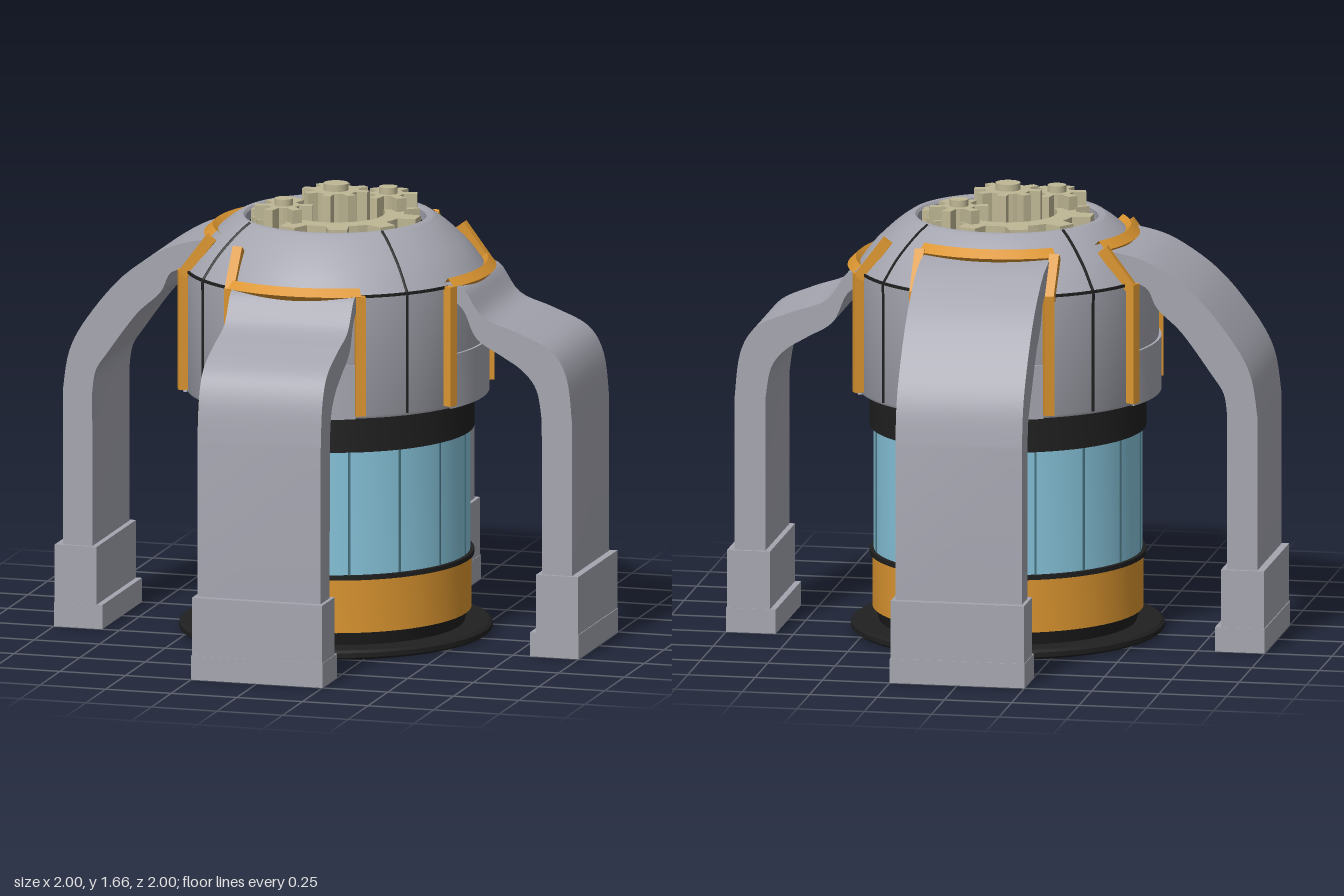
import * as THREE from 'three';
import { toCreasedNormals } from 'three/addons/utils/BufferGeometryUtils.js';

const mat = (name, color, side = THREE.FrontSide) =>
  Object.assign(new THREE.MeshStandardMaterial({ color, side }), { name });
const V2 = (p) => new THREE.Vector2(p[0], p[1]);

export function createModel() {
  const grey = mat('grey metal', 0xa4a5af, THREE.DoubleSide);
  const gold = mat('orange trim', 0xdb9530, THREE.DoubleSide);
  const black = mat('black rubber', 0x202020);
  const glass = mat('blue glass', 0x86c3da);
  const seam = mat('dark blue seam', 0x47727f);
  const brass = mat('pale brass', 0xbfb795);

  const model = new THREE.Group();
  const add = (parent, name, geo, material, x = 0, y = 0, z = 0) => {
    const m = new THREE.Mesh(geo, material);
    m.name = name;
    m.position.set(x, y, z);
    parent.add(m);
    return m;
  };
  const lathe = (pts, start = 0, len = Math.PI * 2, seg = 64) =>
    toCreasedNormals(new THREE.LatheGeometry(pts.map(V2), seg, start, len), 0.6);
  // closed rectangular ring section
  const ring = (r0, r1, y0, y1) => [[r0, y0], [r1, y0], [r1, y1], [r0, y1], [r0, y0]];

  // Base and drum
  add(model, 'baseFlange', lathe([[0, 0.005], [0.56, 0.005], [0.572, 0.014], [0.572, 0.031],
    [0.56, 0.04], [0.45, 0.04]]), black);
  add(model, 'basePlinth', lathe([[0.47, 0.04], [0.485, 0.09], [0.3, 0.09]]), black);
  add(model, 'orangeBand', lathe([[0.44, 0.088], [0.495, 0.09], [0.495, 0.29], [0.44, 0.29]]), gold);
  add(model, 'lowerSeal', lathe(ring(0.45, 0.505, 0.288, 0.305)), black);
  add(model, 'glassDrum', lathe([[0.49, 0.3], [0.49, 0.77]]), glass);
  for (let i = 0; i < 16; i++) {
    const a = (i * Math.PI) / 8;
    add(model, 'glassSeam', new THREE.BoxGeometry(0.008, 0.46, 0.008), seam,
      0.489 * Math.sin(a), 0.535, 0.489 * Math.cos(a)).rotation.y = a;
  }
  add(model, 'collar', lathe([[0.45, 0.765], [0.505, 0.765], [0.505, 0.905]]), black);

  // Shell with its curved shoulder and top opening
  const dome = new THREE.SplineCurve([[0.55, 1.355], [0.495, 1.43], [0.435, 1.49], [0.39, 1.527],
    [0.355, 1.55]].map(V2)).getPoints(12).map((p) => [p.x, p.y]);
  add(model, 'shell', lathe([[0.45, 0.9], [0.545, 0.9], [0.55, 0.91], ...dome, [0.338, 1.55],
    [0.33, 1.54], [0.33, 1.49]]), grey);
  add(model, 'gearWell', new THREE.CylinderGeometry(0.335, 0.335, 0.02, 64), black, 0, 1.495);
  add(model, 'shoulderSeam', lathe(ring(0.54, 0.554, 1.35, 1.36)), black);
  for (let i = 0; i < 4; i++) {
    const a = Math.PI / 4 + (i * Math.PI) / 2;
    const path = new THREE.CatmullRomCurve3([[0.55, 0.91], [0.55, 1.1], [0.55, 1.3], ...dome]
      .map(([r, y]) => new THREE.Vector3(r * Math.sin(a), y, r * Math.cos(a))));
    add(model, 'shellSeam', new THREE.TubeGeometry(path, 48, 0.006, 5), black);
  }

  // Gears
  const gear = (name, teeth, tip, root, hole, y0, y1, x = 0, z = 0, turn = 0) => {
    const s = new THREE.Shape();
    const step = (Math.PI * 2) / teeth;
    for (let i = 0; i < teeth; i++) {
      for (const [f, r] of [[-0.27, root], [-0.17, tip], [0.17, tip], [0.27, root], [0.5, root]]) {
        const a = (i + f) * step + turn;
        s[i === 0 && f === -0.27 ? 'moveTo' : 'lineTo'](r * Math.cos(a), r * Math.sin(a));
      }
    }
    s.closePath();
    if (hole) s.holes.push(new THREE.Path().absarc(0, 0, hole, 0, Math.PI * 2, true));
    const geo = new THREE.ExtrudeGeometry(s, { depth: y1 - y0, bevelEnabled: false, curveSegments: 24 });
    add(model, name, geo.rotateX(-Math.PI / 2), brass, x, y0, z);
  };
  const hub = (r, y0, y1, x, z) =>
    add(model, 'gearHub', new THREE.CylinderGeometry(r, r, y1 - y0, 24), brass, x, (y0 + y1) / 2, z);
  gear('ringGear', 10, 0.315, 0.25, 0.18, 1.5, 1.555);
  gear('centreGear', 8, 0.125, 0.085, 0, 1.5, 1.64);
  hub(0.046, 1.6, 1.665, 0, 0);
  for (const s of [1, -1]) {
    gear('smallGear', 6, 0.108, 0.058, 0, 1.5, 1.605, 0.153 * s, -0.153 * s, 0.25);
    hub(0.034, 1.58, 1.63, 0.153 * s, -0.153 * s);
  }

  // Leg side profiles (distance out, height)
  const profiles = {
    low: {
      outer: [[0.46, 1.365], [0.55, 1.355], [0.63, 1.25], [0.76, 1.2], [0.89, 1.14], [0.95, 1.04], [0.97, 0.88]],
      inner: [[0.855, 0.88], [0.835, 0.99], [0.78, 1.06], [0.7, 1.11], [0.605, 1.17], [0.55, 1.28], [0.46, 1.33]],
    },
    high: {
      outer: [[0.38, 1.475], [0.46, 1.468], [0.58, 1.43], [0.74, 1.32], [0.875, 1.16], [0.945, 1.03], [0.97, 0.88]],
      inner: [[0.858, 0.88], [0.845, 0.96], [0.8, 1.03], [0.69, 1.18], [0.6, 1.265], [0.555, 1.345], [0.46, 1.37]],
    },
  };
  const legGeometry = ({ outer, inner }) => {
    const curve = (pts) => new THREE.SplineCurve(pts.map(V2)).getPoints(30);
    const s = new THREE.Shape([...curve(outer), V2([0.97, 0.15]), V2([0.857, 0.15]), ...curve(inner)]);
    const geo = new THREE.ExtrudeGeometry(s, { depth: 0.47, bevelEnabled: false });
    return toCreasedNormals(geo.translate(0, 0, -0.235), 0.5);
  };

  // Straight trim bar between two points, facing outwards
  const bar = (parent, name, a, b) => {
    const from = new THREE.Vector3(...a), to = new THREE.Vector3(...b);
    const m = add(parent, name, new THREE.BoxGeometry(0.036, 0.04, from.distanceTo(to)), gold);
    m.position.copy(from).add(to).multiplyScalar(0.5);
    m.up.set(from.x, 0, from.z).normalize();
    if (Math.abs(to.x - from.x) > 0.02) m.up.set(0.75, 0.65, 0);
    m.lookAt(to);
  };

  // Each side is built facing +x, then turned into place
  const sides = [['low', 0, [-1]], ['low', -Math.PI / 2, [1]], ['high', Math.PI, [-1, 1]], ['high', Math.PI / 2, [-1, 1]]];
  for (const [kind, turn, shoulderBars] of sides) {
    const side = new THREE.Group();
    side.name = kind + 'LegAssembly';
    add(side, 'leg', legGeometry(profiles[kind]), grey);
    add(side, 'footCuff', new THREE.BoxGeometry(0.16, 0.225, 0.496), grey, 0.917, 0.1925);
    add(side, 'footSole', new THREE.BoxGeometry(0.185, 0.09, 0.5), grey, 0.9075, 0.045);
    add(side, 'skirtPlate', lathe(ring(0.54, 0.56, 0.9, 1.1), Math.PI / 2 - 0.42, 0.84, 12), grey);
    for (const s of [-1, 1]) bar(side, 'verticalTrim', [0.507, 0.915, 0.245 * s], [0.507, 1.36, 0.245 * s]);
    for (const s of shoulderBars) bar(side, 'shoulderTrim', [0.505, 1.345, 0.25 * s], [0.4, 1.485, 0.25 * s]);
    // slanted arc of trim over the top of the leg
    const arc = kind === 'low'
      ? [[0.535, 1.365], [0.56, 1.335], [0.585, 1.36], [0.555, 1.388], [0.535, 1.365]]
      : [[0.42, 1.485], [0.452, 1.455], [0.482, 1.482], [0.45, 1.512], [0.42, 1.485]];
    const half = Math.asin(0.255 / arc[2][0]);
    add(side, 'archTrim', lathe(arc, Math.PI / 2 - half, half * 2, 16), gold);
    side.rotation.y = turn;
    model.add(side);
  }
  return model;
}
